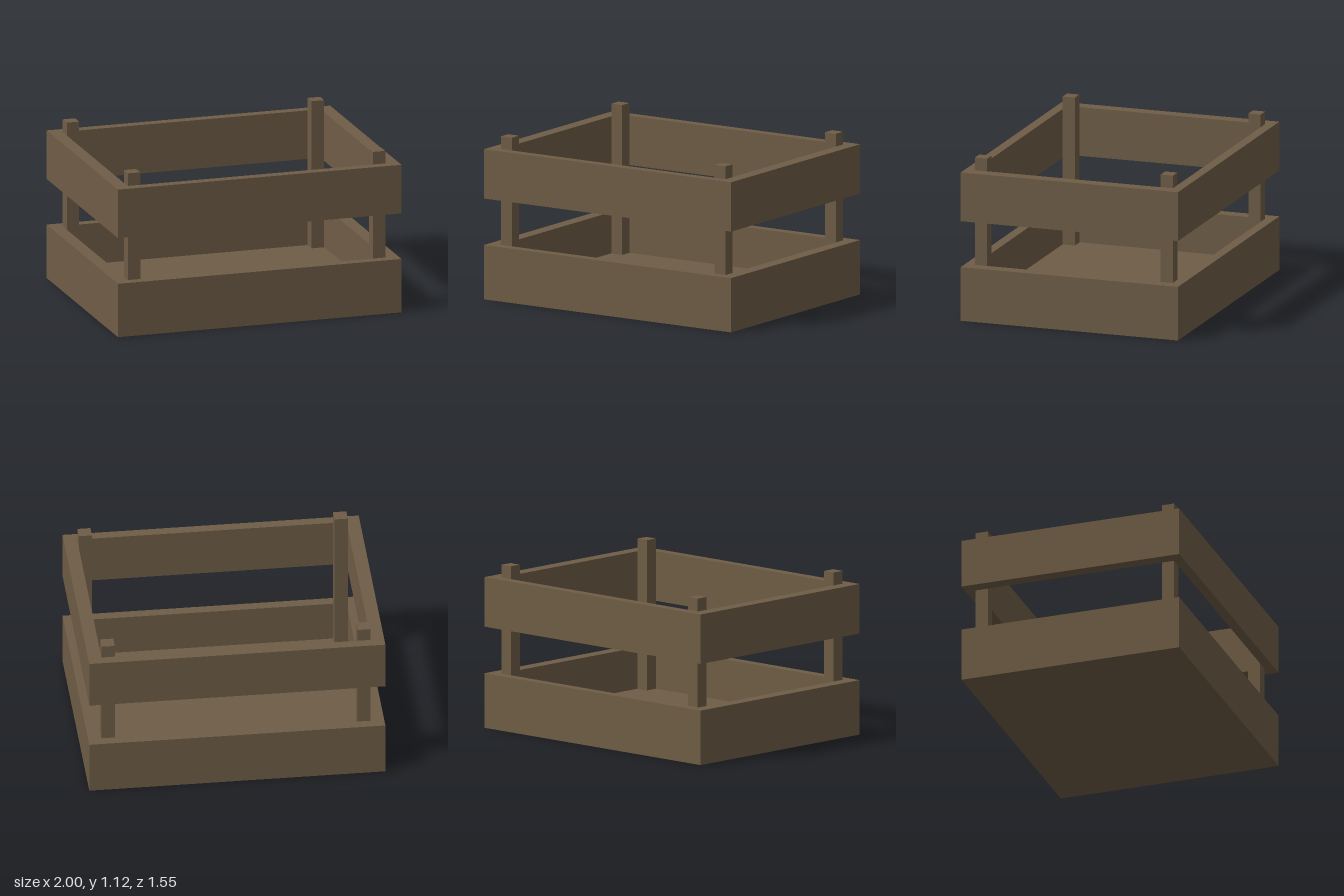
import * as THREE from 'three';

const W = 2, D = 1.55;            // outer size
const IN_X = 0.91, IN_Z = 0.707;  // inner half sizes
const FLOOR = 0.09, POST = 0.088, POST_TOP = 1.115;

export function createModel() {
  const group = new THREE.Group();
  group.name = 'crate';
  const wood = new THREE.MeshStandardMaterial({ color: 0x6f5d46, flatShading: true });

  const box = (name, parent, w, h, d, x, bottom, z) => {
    const mesh = new THREE.Mesh(new THREE.BoxGeometry(w, h, d), wood);
    mesh.name = name;
    mesh.position.set(x, bottom + h / 2, z);
    parent.add(mesh);
  };

  // Floor board, fitted between the lower planks
  box('floor', group, IN_X * 2, FLOOR, IN_Z * 2, 0, 0, 0);

  // Two rings of four planks
  const tx = W / 2 - IN_X, tz = D / 2 - IN_Z;
  for (const [name, bottom, top] of [['lower', 0, 0.372], ['upper', 0.69, 1.028]]) {
    const ring = new THREE.Group();
    ring.name = name + 'Planks';
    group.add(ring);
    const h = top - bottom;
    for (const s of [1, -1]) {
      box(name + (s > 0 ? 'FrontPlank' : 'BackPlank'), ring, W, h, tz, 0, bottom, s * (IN_Z + tz / 2));
      box(name + (s > 0 ? 'LeftPlank' : 'RightPlank'), ring, tx, h, IN_Z * 2, s * (IN_X + tx / 2), bottom, 0);
    }
  }

  // Corner posts inside the planks
  for (const sx of [1, -1]) {
    for (const sz of [1, -1]) {
      const name = (sz > 0 ? 'front' : 'back') + (sx > 0 ? 'Left' : 'Right') + 'Post';
      box(name, group, POST, POST_TOP - FLOOR, POST, sx * (IN_X - POST / 2 - 0.002), FLOOR, sz * (IN_Z - POST / 2));
    }
  }
  return group;
}
